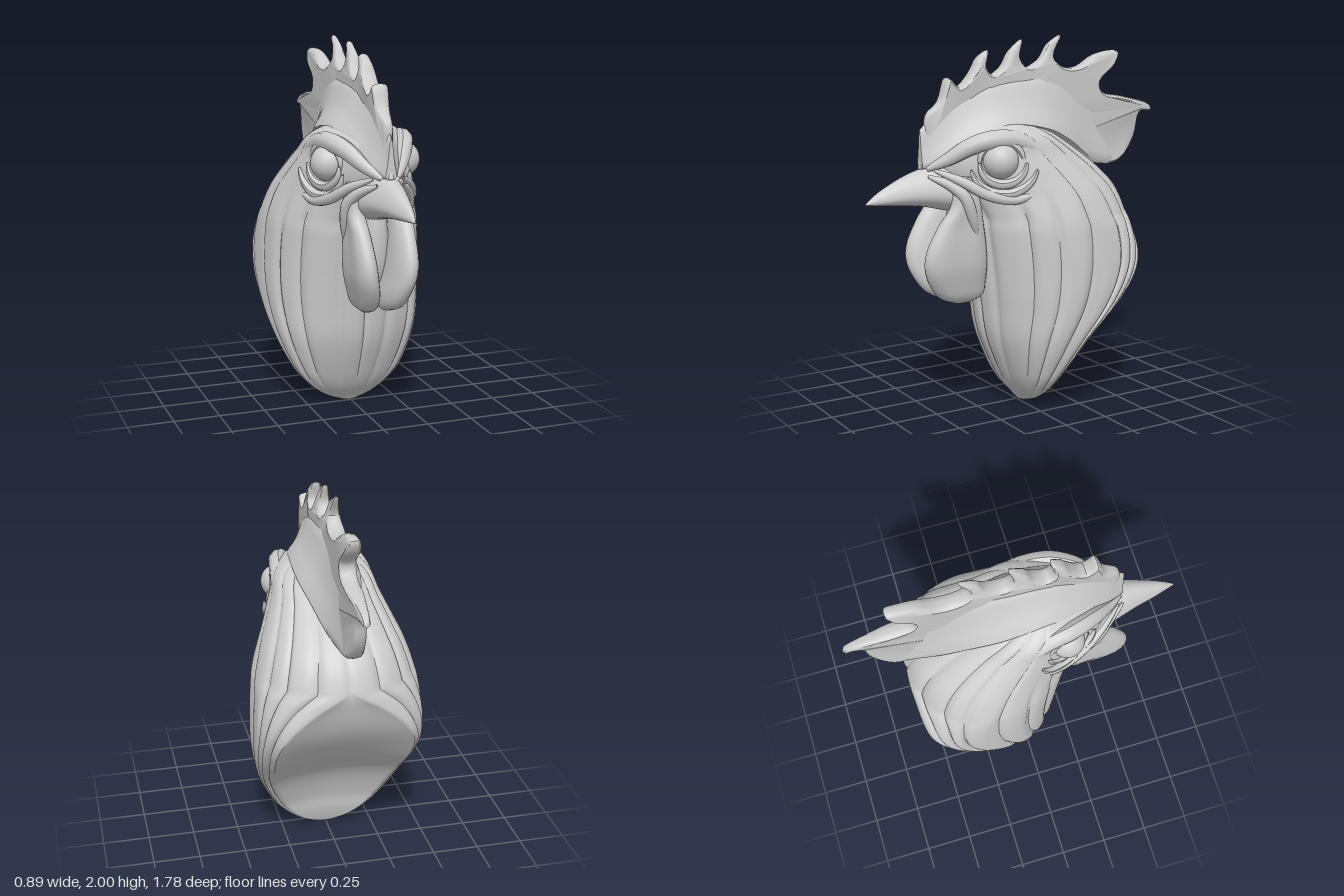
import * as THREE from 'three';
import { toCreasedNormals, mergeVertices } from 'three/addons/utils/BufferGeometryUtils.js';

const material = new THREE.MeshStandardMaterial({ color: 0xcccccc, side: THREE.DoubleSide });
const { lerp, smoothstep, clamp } = THREE.MathUtils;

function part(name, geometry) {
  const mesh = new THREE.Mesh(geometry, material);
  mesh.name = name;
  return mesh;
}

// Smooth lookup in a table whose rows are [key, value, value, ...]
function sample(table, key) {
  let i = 0;
  while (i < table.length - 2 && key > table[i + 1][0]) i++;
  const p = table[i], q = table[i + 1];
  const before = table[Math.max(i - 1, 0)], after = table[Math.min(i + 2, table.length - 1)];
  const h = q[0] - p[0], t = (key - p[0]) / h, t2 = t * t, t3 = t2 * t;
  return p.slice(1).map((v, c) => {
    const k = c + 1;
    const m0 = (q[k] - before[k]) / (q[0] - before[0]) * h;
    const m1 = (after[k] - p[k]) / (after[0] - p[0]) * h;
    return (2 * t3 - 3 * t2 + 1) * v + (t3 - 2 * t2 + t) * m0 + (3 * t2 - 2 * t3) * q[k] + (t3 - t2) * m1;
  });
}

// Skin over closed rings of [x, y, z], with both ends closed
function loft(rings, crease) {
  const n = rings[0].length, pos = rings.flat(2), index = [];
  for (let i = 0; i < rings.length - 1; i++) {
    for (let j = 0; j < n; j++) {
      const a = i * n + j, b = i * n + (j + 1) % n;
      index.push(a, b, b + n, a, b + n, a + n);
    }
  }
  const last = (rings.length - 1) * n;
  for (let j = 1; j < n - 1; j++) index.push(0, j + 1, j, last, last + j, last + j + 1);
  const geo = new THREE.BufferGeometry();
  geo.setAttribute('position', new THREE.Float32BufferAttribute(pos, 3));
  geo.setIndex(index);
  return toCreasedNormals(geo, crease);
}

function rows(table, count, ring) {
  const a = table[0][0], b = table[table.length - 1][0];
  return Array.from({ length: count + 1 }, (_, i) => {
    const key = lerp(a, b, i / count);
    return ring(key, sample(table, key));
  });
}

// Skin fold: a tube that thins out towards both ends
function fold(name, points, radius) {
  const curve = new THREE.CatmullRomCurve3(points.map(p => new THREE.Vector3(...p)));
  const geo = new THREE.TubeGeometry(curve, 32, radius, 10);
  const pos = geo.attributes.position, v = new THREE.Vector3();
  for (let i = 0; i < pos.count; i++) {
    const u = Math.floor(i / 11) / 32, centre = curve.getPointAt(u);
    v.fromBufferAttribute(pos, i).lerp(centre, 1 - Math.pow(Math.sin(Math.PI * lerp(0.03, 0.97, u)), 0.6));
    pos.setXYZ(i, v.x, v.y, v.z);
  }
  geo.computeVertexNormals();
  return part(name, geo);
}

// Head and feathered neck: horizontal slices with an oval, hollowed cut at the back
function headAndNeck() {
  // height, front z, widest z, back z, half width
  const table = [
    [0, -0.01, -0.03, -0.04, 0.04], [0.03, 0.01, -0.03, -0.06, 0.125], [0.1, 0.07, -0.03, -0.095, 0.225],
    [0.2, 0.125, -0.04, -0.135, 0.31], [0.4, 0.205, -0.1, -0.255, 0.4], [0.6, 0.24, -0.18, -0.44, 0.44],
    [0.8, 0.27, -0.22, -0.57, 0.447], [1, 0.3, -0.22, -0.61, 0.435], [1.08, 0.31, -0.2, -0.6, 0.42],
    [1.2, 0.38, -0.15, -0.545, 0.38], [1.3, 0.48, -0.08, -0.45, 0.335], [1.4, 0.5, 0, -0.32, 0.29],
    [1.5, 0.45, 0.08, -0.16, 0.25], [1.56, 0.32, 0.12, -0.02, 0.16], [1.59, 0.2, 0.15, 0.08, 0.03],
  ];
  const front = 56, back = 56, inner = 20;
  const rings = rows(table, 96, (y, [zf, zm, zb, w]) => {
    const cut = Math.sin(clamp((1.06 - y) / 0.4, 0, 1) * Math.PI / 2);
    const rim = Math.PI * (1 - 0.25 * cut);
    const nBack = lerp(2.1, 3.6, cut), nFront = lerp(1.9, 1.45, smoothstep(y, 1, 1.3));
    const reach = (zb - zm) / Math.pow(Math.abs(Math.cos(rim)), 2 / nBack);
    const hollow = 0.08 * Math.sin(Math.PI * Math.min(y / 1.06, 1));
    const half = [];
    for (let i = 0; i <= front + back; i++) {
      const ahead = i < front, e = 2 / (ahead ? nFront : nBack), u = i / front;
      const t = ahead ? u * Math.PI / 2 : lerp(Math.PI / 2, rim, (i - front) / back);
      // feather grooves, left out on the face and fading at the rim
      const onFace = smoothstep(y, 1.05, 1.25) * (1 - smoothstep(u, 0.8, 1.15));
      const nearRim = cut * smoothstep(u, 1.7, 2);
      const groove = Math.pow(1 - Math.abs(Math.sin(u * Math.PI * 4 + 0.4 * Math.sin(u * 9))), 2);
      const s = 1 - 0.05 * groove * (1 - onFace) * (1 - nearRim) * smoothstep(y, 0, 0.2);
      half.push([s * w * Math.pow(Math.abs(Math.sin(t)), e), y,
        zm + s * (ahead ? zf - zm : reach) * Math.pow(Math.abs(Math.cos(t)), e)]);
    }
    const [rx, , rz] = half[front + back];
    for (let i = 1; i <= inner; i++) {
      const f = 1 - i / inner;
      half.push([rx * f, y, rz + hollow * (1 - f * f)]);
    }
    return [...half, ...half.slice(1, -1).reverse().map(([x, h, z]) => [-x, h, z])];
  });
  return part('headAndNeck', loft(rings, 0.75));
}

// Comb: a thin toothed blade over a flared base
function comb() {
  const group = new THREE.Group();
  group.name = 'comb';
  const outline = [
    [0.59, 1.34], [0.55, 1.43], [0.555, 1.56], [0.54, 1.62], [0.47, 1.68], [0.42, 1.8], [0.36, 1.75],
    [0.285, 1.815], [0.24, 1.895], [0.18, 1.93], [0.195, 1.84], [0.16, 1.805], [0.095, 1.84],
    [0.05, 1.92], [-0.03, 1.98], [-0.01, 1.885], [-0.05, 1.835], [-0.14, 1.87], [-0.19, 1.95],
    [-0.275, 1.995], [-0.22, 1.88], [-0.285, 1.825], [-0.39, 1.825], [-0.5, 1.885], [-0.645, 1.895],
    [-0.62, 1.825], [-0.52, 1.735], [-0.535, 1.68], [-0.68, 1.645], [-0.87, 1.59], [-0.885, 1.555],
    [-0.8, 1.55], [-0.76, 1.42], [-0.68, 1.31], [-0.6, 1.275], [-0.42, 1.31], [-0.26, 1.42],
    [-0.1, 1.5], [0.14, 1.54], [0.32, 1.48], [0.51, 1.34],
  ];
  const curve = new THREE.CatmullRomCurve3(outline.map(([z, y]) => new THREE.Vector3(z, y, 0)), true);
  const shape = new THREE.Shape(curve.getPoints(164).slice(0, -1).map(p => new THREE.Vector2(p.x, p.y)));
  const blade = new THREE.ExtrudeGeometry(shape, {
    depth: 0.01, bevelThickness: 0.03, bevelSize: 0.016, bevelOffset: -0.016, bevelSegments: 2, steps: 1,
  });
  blade.translate(0, 0, -0.005).rotateY(-Math.PI / 2);
  // thinner towards the tooth tips and both ends
  const pos = blade.attributes.position;
  for (let i = 0; i < pos.count; i++) {
    const z = pos.getZ(i), ends = Math.min(1, 0.4 + (z + 0.89) * 2.5, 0.3 + (0.6 - z) * 4);
    pos.setX(i, pos.getX(i) * ends * Math.min(1.25, 0.35 + 5 * (2 - pos.getY(i))));
  }
  blade.deleteAttribute('uv');
  blade.deleteAttribute('normal');
  group.add(part('combBlade', toCreasedNormals(mergeVertices(blade, 1e-4), 0.7)));

  // z, bottom, ridge, half width
  const table = [
    [-0.68, 1.36, 1.58, 0.01], [-0.6, 1.285, 1.64, 0.042], [-0.52, 1.285, 1.68, 0.06],
    [-0.42, 1.31, 1.76, 0.085], [-0.26, 1.42, 1.79, 0.135],
    [-0.1, 1.5, 1.8, 0.17], [0.14, 1.54, 1.78, 0.165], [0.32, 1.48, 1.73, 0.135],
    [0.47, 1.38, 1.65, 0.09], [0.58, 1.34, 1.54, 0.03],
  ];
  const side = [[0.8, 0], [1, 0.06], [0.93, 0.15], [0.73, 0.3], [0.53, 0.5], [0.36, 0.75], [0.2, 0.95]];
  const loop = [[0, 0], ...side, [0, 1], ...side.map(([x, v]) => [-x, v]).reverse()];
  const rings = rows(table, 48, (z, [lo, hi, w]) => loop.map(([x, v]) => [x * w, lerp(lo, hi, v), z]));
  group.add(part('combBase', loft(rings, 0.8)));
  return group;
}

// Beak: ridged tapering sections bending down to the tip
function beak() {
  // z, bottom, top, half width
  const table = [
    [0.38, 1.1, 1.34, 0.14], [0.46, 1.115, 1.36, 0.13], [0.56, 1.14, 1.345, 0.105],
    [0.66, 1.155, 1.315, 0.075], [0.76, 1.165, 1.27, 0.048], [0.84, 1.172, 1.225, 0.022], [0.89, 1.178, 1.185, 0.004],
  ];
  const rings = rows(table, 24, (z, [lo, hi, w]) => Array.from({ length: 24 }, (_, j) => {
    const a = j / 24 * Math.PI * 2, s = Math.sin(a);
    const v = s > 0 ? 0.35 + 0.65 * Math.pow(s, 1.3) : 0.35 * (1 + s);
    return [Math.cos(a) * w, lerp(lo, hi, v), z];
  }));
  return part('beak', loft(rings, 0.7));
}

// Wattle: hanging lobe with a pinched upper end
function wattle() {
  // height, front z, back z, centre x, half width
  const table = [
    [0.62, 0.42, 0.32, 0.06, 0.03], [0.65, 0.5, 0.26, 0.07, 0.06], [0.72, 0.565, 0.25, 0.083, 0.073],
    [0.82, 0.61, 0.25, 0.105, 0.075], [0.92, 0.605, 0.26, 0.115, 0.07], [1.05, 0.54, 0.28, 0.122, 0.06],
    [1.15, 0.47, 0.3, 0.13, 0.055], [1.3, 0.46, 0.34, 0.13, 0.04],
  ];
  const rings = rows(table, 32, (y, [zf, zb, cx, w]) => Array.from({ length: 28 }, (_, j) => {
    const a = j / 28 * Math.PI * 2;
    const dent = 1 - 0.25 * Math.pow(Math.max(0, Math.sin(a)), 6);
    return [cx + Math.sin(a) * w * dent, y, (zf + zb) / 2 + Math.cos(a) * (zf - zb) / 2];
  }));
  return part('wattle', loft(rings, 1));
}

// Eye, lids, brow, cheek folds and wattle of one side
function faceSide(name) {
  const group = new THREE.Group();
  group.name = name;
  const eye = part('eye', new THREE.SphereGeometry(0.093, 32, 20));
  eye.position.set(0.205, 1.38, 0.22);
  group.add(eye);
  const arc = (r, x, from, to) => Array.from({ length: 9 }, (_, i) => {
    const a = lerp(from, to, i / 8);
    return [x - 0.4 * r * Math.cos(a), 1.375 + r * Math.sin(a), 0.22 + r * Math.cos(a)];
  });
  group.add(
    fold('upperLid', arc(0.105, 0.215, -0.3, 3.5), 0.022),
    fold('lowerLid', arc(0.115, 0.232, 0, -3.1), 0.026),
    fold('eyeBag', arc(0.165, 0.247, -0.2, -2.9), 0.026),
    fold('brow', [[0.04, 1.34, 0.56], [0.095, 1.39, 0.47], [0.155, 1.46, 0.36], [0.2, 1.49, 0.24],
      [0.225, 1.47, 0.1], [0.25, 1.39, 0], [0.28, 1.28, -0.03]], 0.05),
    fold('cheekFold', [[0.07, 1.31, 0.57], [0.13, 1.26, 0.47], [0.165, 1.2, 0.41], [0.165, 1.1, 0.37], [0.14, 0.95, 0.32]], 0.032),
    fold('cheekFold', [[0.08, 1.34, 0.54], [0.165, 1.28, 0.42], [0.225, 1.21, 0.3], [0.27, 1.18, 0.17], [0.3, 1.22, 0.03]], 0.03),
    wattle(),
  );
  return group;
}

export function createModel() {
  const model = new THREE.Group();
  model.name = 'roosterHead';
  const left = faceSide('leftFace'), right = faceSide('rightFace');
  right.scale.x = -1;
  const throat = fold('throat', [[0, 1.2, 0.38], [0, 1, 0.35], [0, 0.82, 0.33], [0, 0.66, 0.28]], 0.08);
  model.add(headAndNeck(), comb(), beak(), throat, left, right);
  return model;
}
